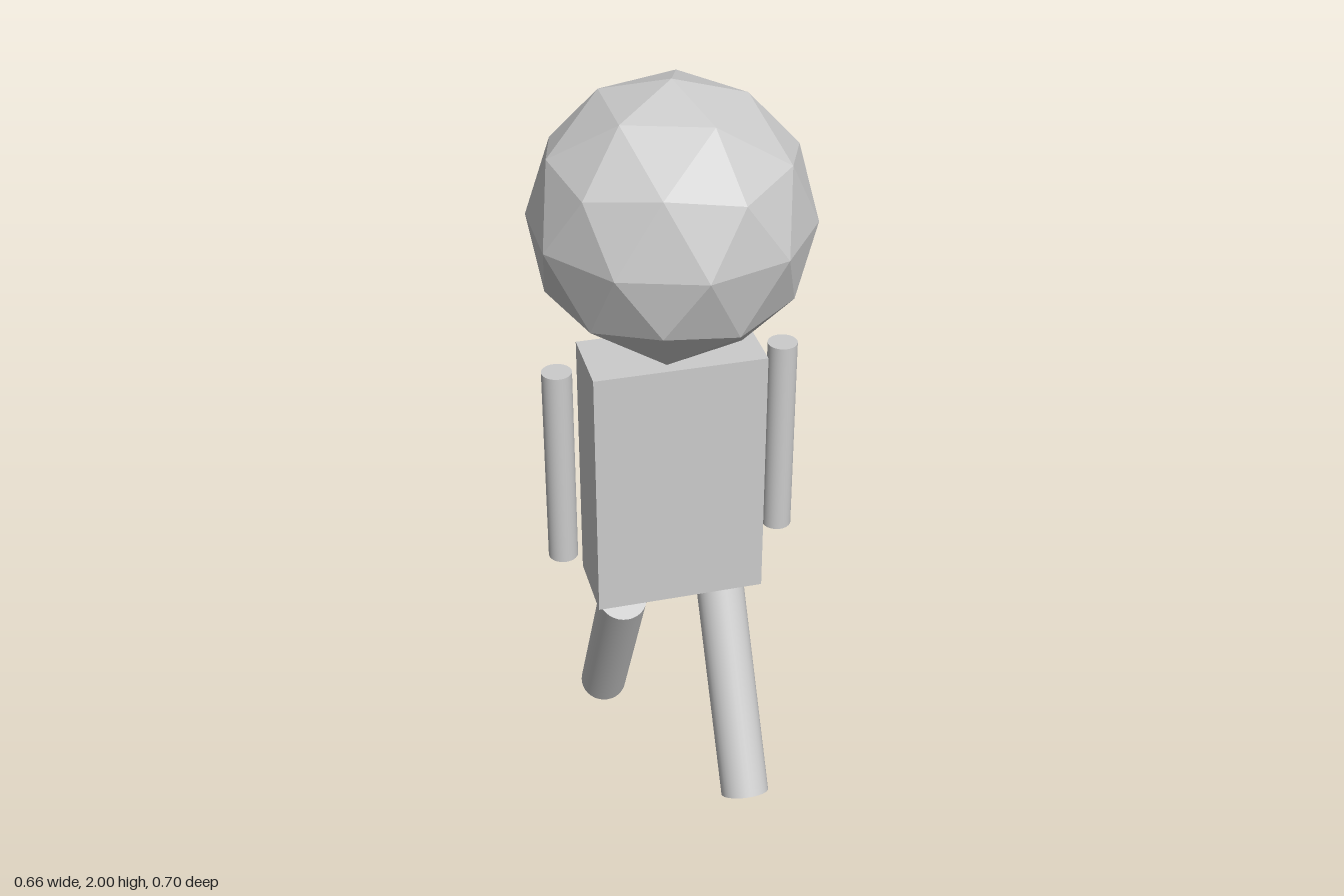
import * as THREE from 'three';

const smooth = new THREE.MeshStandardMaterial({ color: 0xcccccc });
const faceted = new THREE.MeshStandardMaterial({ color: 0xcccccc, flatShading: true });

export function createModel() {
  const model = new THREE.Group();

  function add(name, geometry, material, x, y, z) {
    const mesh = new THREE.Mesh(geometry, material);
    mesh.name = name;
    mesh.position.set(x, y, z);
    model.add(mesh);
    return mesh;
  }

  // Head: low-poly icosphere turned so that a corner points straight up
  const head = new THREE.IcosahedronGeometry(0.348, 1);
  head.rotateZ(-Math.atan2(2, 1 + Math.sqrt(5)));
  add('head', head, faceted, 0, 1.652, 0);

  // Torso: plain block
  add('torso', new THREE.BoxGeometry(0.44, 0.694, 0.198), smooth, 0, 0.943, 0);

  // Arms: thin upright cylinders beside the torso
  const arm = new THREE.CylinderGeometry(0.038, 0.038, 0.55, 32);
  add('leftArm', arm, smooth, 0.288, 0.996, 0);
  add('rightArm', arm, smooth, -0.29, 0.996, 0);

  // Legs: thicker cylinders in mid-stride, left forward and right back
  const leg = new THREE.CylinderGeometry(0.064, 0.064, 0.578, 32);
  const stride = THREE.MathUtils.degToRad(28.5);
  add('leftLeg', leg, smooth, 0.134, 0.289, 0.141).rotation.x = -stride;
  add('rightLeg', leg, smooth, -0.136, 0.297, -0.13).rotation.x = stride;

  return model;
}
